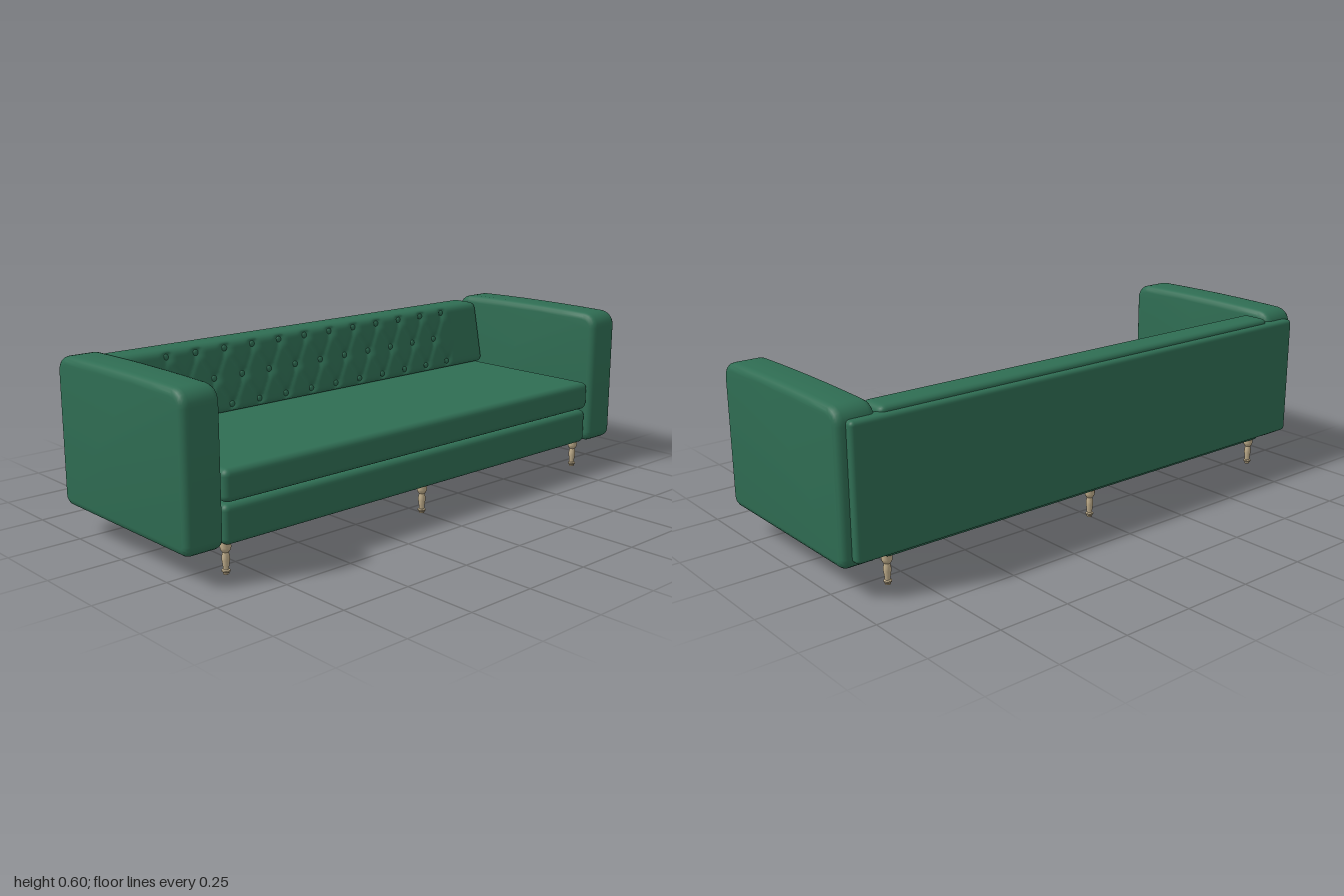
import * as THREE from 'three';
import { mergeVertices, toCreasedNormals } from 'three/addons/utils/BufferGeometryUtils.js';
import { RoundedBoxGeometry } from 'three/addons/geometries/RoundedBoxGeometry.js';

const green = new THREE.MeshStandardMaterial({ color: 0x2f6d53 });
green.name = 'green upholstery';
const wood = new THREE.MeshStandardMaterial({ color: 0xbfad8b });
wood.name = 'pale wood';

function add(parent, name, geometry, material, x = 0, y = 0, z = 0) {
  const mesh = new THREE.Mesh(geometry, material);
  mesh.name = name;
  mesh.position.set(x, y, z);
  parent.add(mesh);
  return mesh;
}

// Rounded block given by its extents
function block(parent, name, [x0, x1], [y0, y1], [z0, z1], radius) {
  const g = new RoundedBoxGeometry(x1 - x0, y1 - y0, z1 - z0, 3, radius);
  return add(parent, name, g, green, (x0 + x1) / 2, (y0 + y1) / 2, (z0 + z1) / 2);
}

// Arm: side outline with soft upper corners, extruded with a rounded bevel
function armGeometry(width, z0, z1, y0, y1) {
  const b = 0.025, top = 0.035, low = 0.012;
  const l = z0 + b, r = z1 - b, d = y0 + b, u = y1 - b;
  const s = new THREE.Shape();
  s.moveTo(l + low, d);
  s.lineTo(r - low, d);
  s.quadraticCurveTo(r, d, r, d + low);
  s.lineTo(r, u - top);
  s.quadraticCurveTo(r, u - 0.006, r - top, u - 0.004);
  s.quadraticCurveTo((l + r) / 2, u + 0.004, l + top, u - 0.004);
  s.quadraticCurveTo(l, u - 0.006, l, u - top);
  s.lineTo(l, d + low);
  s.quadraticCurveTo(l, d, l + low, d);
  const depth = width - 2 * b;
  const g = new THREE.ExtrudeGeometry(s, {
    depth, bevelEnabled: true, bevelSize: b, bevelThickness: b, bevelSegments: 4, curveSegments: 6,
  });
  g.translate(0, 0, -depth / 2);
  g.rotateY(-Math.PI / 2);
  return toCreasedNormals(g, 0.6);
}

// Tufting: buttons sit on a diamond lattice
const PITCH = 0.119, ROW = 0.19;
const CUSHION = { w: 1.715, h: 0.24, d: 0.115, r: 0.024, y: 0.457, z: -0.2625, lean: 0.2 };

function tuftDepth(x, y) {
  const u = x / PITCH, v = y / ROW;
  const gap = (t) => Math.abs(t - Math.round(t));
  const crease = Math.min(gap(u + v), gap(u - v));
  // distance to the nearest button
  let nearest = 1;
  for (const row of [-0.5, 0, 0.5]) {
    const shift = row === 0 ? 0 : 0.5;
    const k = Math.round(u - shift) + shift;
    nearest = Math.min(nearest, Math.hypot((u - k) * PITCH, (v - row) * ROW));
  }
  const fade = THREE.MathUtils.smoothstep(0.7 - Math.abs(x), 0, 0.06)
    * THREE.MathUtils.smoothstep(CUSHION.h / 2 - Math.abs(y), 0, 0.02);
  return fade * (0.005 * Math.exp(-((crease / 0.1) ** 2)) + 0.013 * Math.exp(-((nearest / 0.018) ** 2)));
}

// Back cushion: a subdivided box rounded at its edges, tufted in front and leaning back
function backCushionGeometry() {
  const { w, h, d, r, lean } = CUSHION;
  let g = new THREE.BoxGeometry(w, h, d, 216, 36, 12);
  g.deleteAttribute('normal');
  g.deleteAttribute('uv');
  g = mergeVertices(g);
  const inner = new THREE.Vector3(w / 2 - r, h / 2 - r, d / 2 - r);
  const p = new THREE.Vector3(), c = new THREE.Vector3(), pos = g.attributes.position;
  for (let i = 0; i < pos.count; i++) {
    p.fromBufferAttribute(pos, i);
    c.copy(p).clamp(inner.clone().negate(), inner);
    p.sub(c).setLength(r).add(c);
    if (p.z > d / 2 - r) p.z -= tuftDepth(p.x, p.y);
    p.z -= p.y * lean;
    pos.setXYZ(i, p.x, p.y, p.z);
  }
  g.computeVertexNormals();
  return g;
}

export function createModel() {
  const model = new THREE.Group();
  model.name = 'tuftedSofa';

  // Arms
  const arm = armGeometry(0.136, -0.335, 0.362, 0.098, 0.6);
  add(model, 'leftArm', arm, green, 0.932);
  add(model, 'rightArm', arm, green, -0.932);

  // Body
  block(model, 'base', [-0.855, 0.855], [0.1, 0.226], [-0.335, 0.35], 0.02);
  block(model, 'seatCushion', [-0.856, 0.856], [0.232, 0.335], [-0.32, 0.356], 0.022);
  block(model, 'backPanel', [-0.97, 0.97], [0.122, 0.56], [-0.363, -0.305], 0.014);

  // Tufted back cushion with buttons
  const back = new THREE.Group();
  back.name = 'backCushion';
  back.position.set(0, CUSHION.y, CUSHION.z);
  model.add(back);
  add(back, 'tuftedPad', backCushionGeometry(), green);
  const button = new THREE.SphereGeometry(0.011, 12, 8);
  button.scale(1, 1, 0.5);
  for (const row of [-0.5, 0, 0.5]) {
    const count = row === 0 ? 11 : 12;
    for (let i = 0; i < count; i++) {
      const x = (i - (count - 1) / 2) * PITCH, y = row * ROW;
      add(back, 'button', button, green, x, y, CUSHION.d / 2 - 0.013 - y * CUSHION.lean);
    }
  }

  // Turned legs
  const profile = [
    [0, 0], [0.009, 0], [0.01, 0.006], [0.0135, 0.009], [0.0135, 0.013], [0.009, 0.016],
    [0.01, 0.028], [0.0125, 0.045], [0.0125, 0.056], [0.0095, 0.07], [0.013, 0.073],
    [0.0165, 0.08], [0.0175, 0.086], [0.0175, 0.105], [0, 0.105],
  ].map(([r, y]) => new THREE.Vector2(r, y));
  const leg = toCreasedNormals(new THREE.LatheGeometry(profile, 16), 0.6);
  for (const x of [-0.83, 0, 0.83]) {
    add(model, 'frontLeg', leg, wood, x, 0, 0.312);
    add(model, 'backLeg', leg, wood, x, 0, -0.3);
  }
  return model;
}
